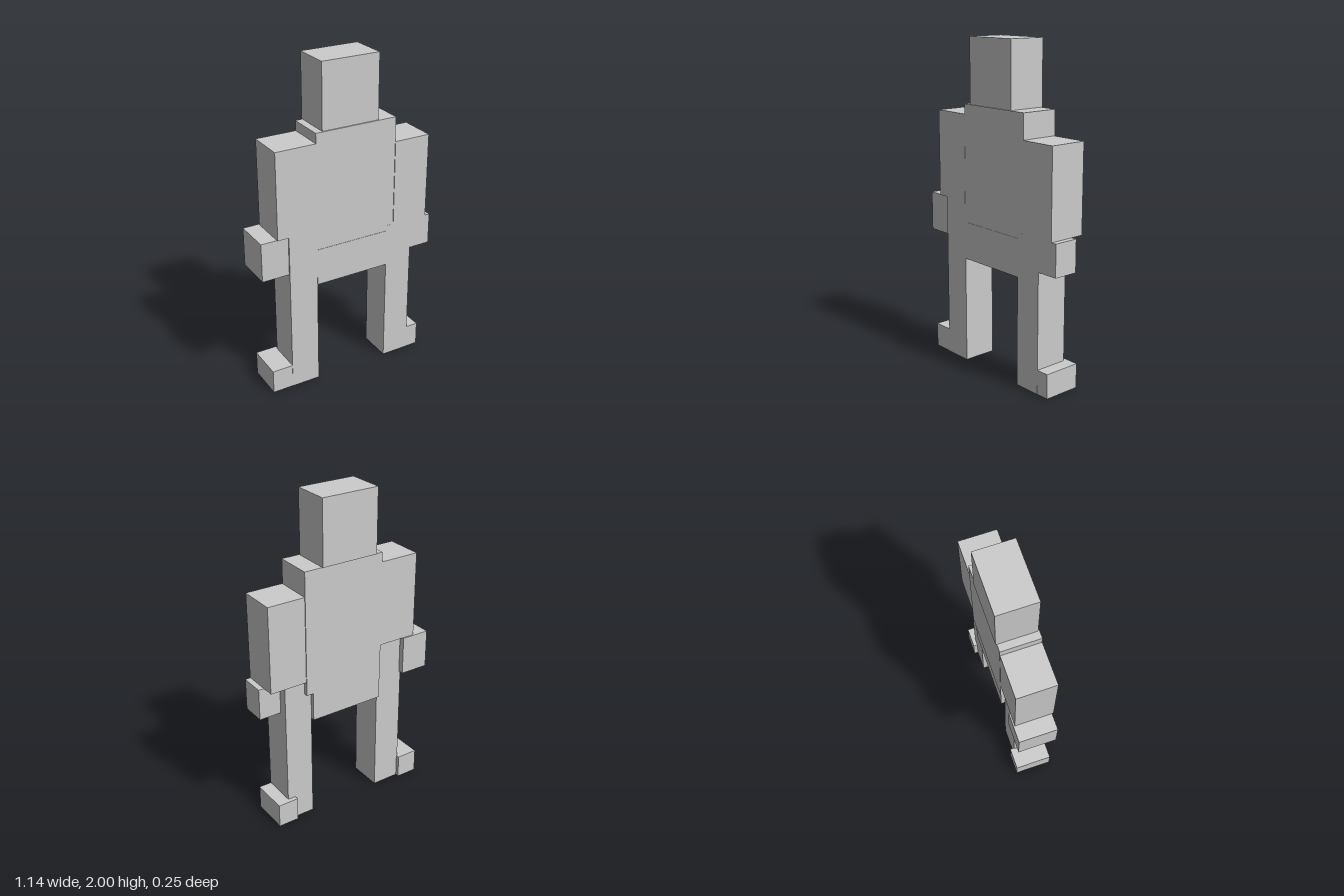
import * as THREE from 'three';

// Blocky figure: each part is a box given by its [min, max] range per axis
const PARTS = {
  head: [[-0.175, 0.187], [1.61, 2.0], [-0.125, 0.11]],
  torso: [[-0.22, 0.3], [0.845, 1.61], [-0.118, 0.118]],
  pelvis: [[-0.22, 0.255], [0.665, 0.895], [-0.115, 0.12]],
  rightArm: [[-0.47, -0.22], [1.02, 1.55], [-0.116, 0.119]],
  leftArm: [[0.3, 0.533], [0.93, 1.46], [-0.113, 0.122]],
  rightHand: [[-0.57, -0.39], [0.78, 1.02], [-0.125, 0.11]],
  leftHand: [[0.43, 0.567], [0.735, 0.93], [-0.035, 0.119]],
  rightLeg: [[-0.4, -0.22], [0, 1.02], [-0.09, 0.119]],
  leftLeg: [[0.255, 0.43], [0, 0.93], [-0.09, 0.119]],
  rightFoot: [[-0.53, -0.395], [0, 0.15], [-0.114, 0.117]],
  leftFoot: [[0.38, 0.51], [0, 0.15], [-0.116, 0.118]],
};

export function createModel() {
  const model = new THREE.Group();
  model.name = 'blockFigure';
  const material = new THREE.MeshStandardMaterial({ color: 0xcccccc, flatShading: true });

  for (const [name, ranges] of Object.entries(PARTS)) {
    const size = ranges.map(([lo, hi]) => hi - lo);
    const centre = ranges.map(([lo, hi]) => (lo + hi) / 2);
    const mesh = new THREE.Mesh(new THREE.BoxGeometry(...size), material);
    mesh.name = name;
    mesh.position.set(...centre);
    model.add(mesh);
  }
  return model;
}
